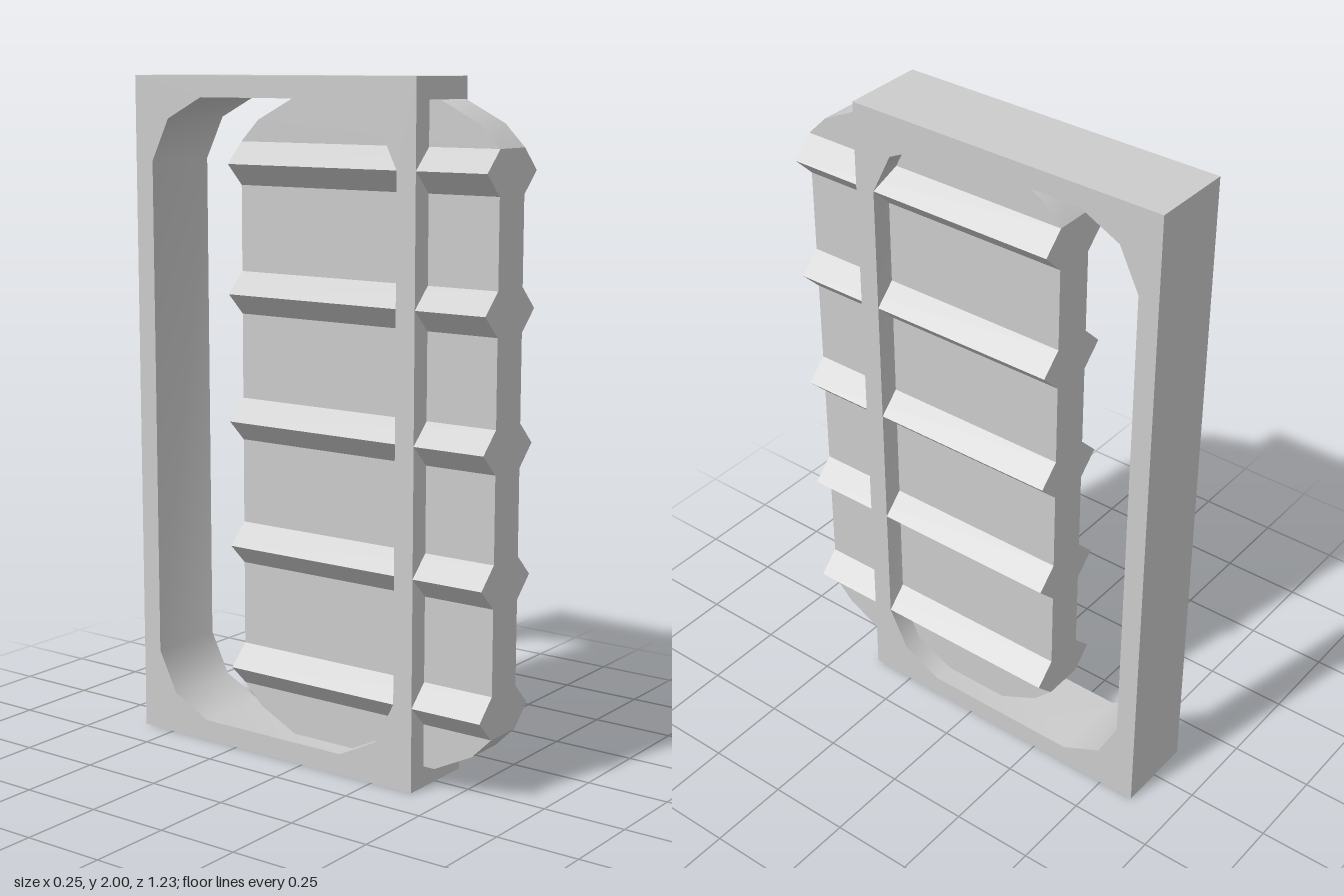
import * as THREE from 'three';
import { toCreasedNormals } from 'three/addons/utils/BufferGeometryUtils.js';

const grey = new THREE.MeshStandardMaterial({ color: 0xcccccc });

// Rectangle in the (z, y) plane with faceted corners; each corner spans
// cz along z and cy along y, with a middle point inset by m.
function facetedOutline(z0, z1, y0, y1, cz, cy, m) {
  const quarter = [[0, cy], [m, m], [cz, 0]];
  const reversed = [...quarter].reverse();
  return [
    ...quarter.map(([a, b]) => [z0 + a, y0 + b]),
    ...reversed.map(([a, b]) => [z1 - a, y0 + b]),
    ...quarter.map(([a, b]) => [z1 - a, y1 - b]),
    ...reversed.map(([a, b]) => [z0 + a, y1 - b]),
  ].map(([z, y]) => new THREE.Vector2(z, y));
}

// Extrude a (z, y) shape across x, centred on x = 0.
function extrudeAcross(shape, width) {
  const g = new THREE.ExtrudeGeometry(shape, { depth: width, bevelEnabled: false });
  g.translate(0, 0, -width / 2);
  g.rotateY(-Math.PI / 2);
  return toCreasedNormals(g, THREE.MathUtils.degToRad(40));
}

function addMesh(parent, name, geometry) {
  const mesh = new THREE.Mesh(geometry, grey);
  mesh.name = name;
  parent.add(mesh);
  return mesh;
}

export function createModel() {
  const model = new THREE.Group();
  model.name = 'slidingHatch';

  // Rectangular frame with a faceted opening
  const frame = new THREE.Shape([
    [-0.6125, 0], [0.3875, 0], [0.3875, 2], [-0.6125, 2],
  ].map(([z, y]) => new THREE.Vector2(z, y)));
  frame.holes.push(new THREE.Path(
    facetedOutline(-0.55, 0.325, 0.0625, 1.9375, 0.1875, 0.1875, 0.0625)));
  addMesh(model, 'frame', extrudeAcross(frame, 0.25));

  // Door panel, slid part way through the frame
  const door = new THREE.Group();
  door.name = 'door';
  model.add(door);
  const z0 = -0.2625, z1 = 0.6125;
  const panel = new THREE.Shape(
    facetedOutline(z0, z1, 0.0625, 1.9375, 0.1875, 0.125, 0.0625));
  addMesh(door, 'doorPanel', extrudeAcross(panel, 0.125));

  // Triangular ribs running along both faces of the door
  for (const side of [1, -1]) {
    const profile = new THREE.Shape([
      new THREE.Vector2(side * 0.0625, -0.0625),
      new THREE.Vector2(side * 0.125, 0),
      new THREE.Vector2(side * 0.0625, 0.0625),
    ]);
    const geometry = toCreasedNormals(
      new THREE.ExtrudeGeometry(profile, { depth: z1 - z0, bevelEnabled: false }), 0.5);
    for (let i = 0; i < 5; i++) {
      const rib = addMesh(door, `${side > 0 ? 'left' : 'right'}Rib${i + 1}`, geometry);
      rib.position.set(0, 0.25 + i * 0.375, z0);
    }
  }

  return model;
}
